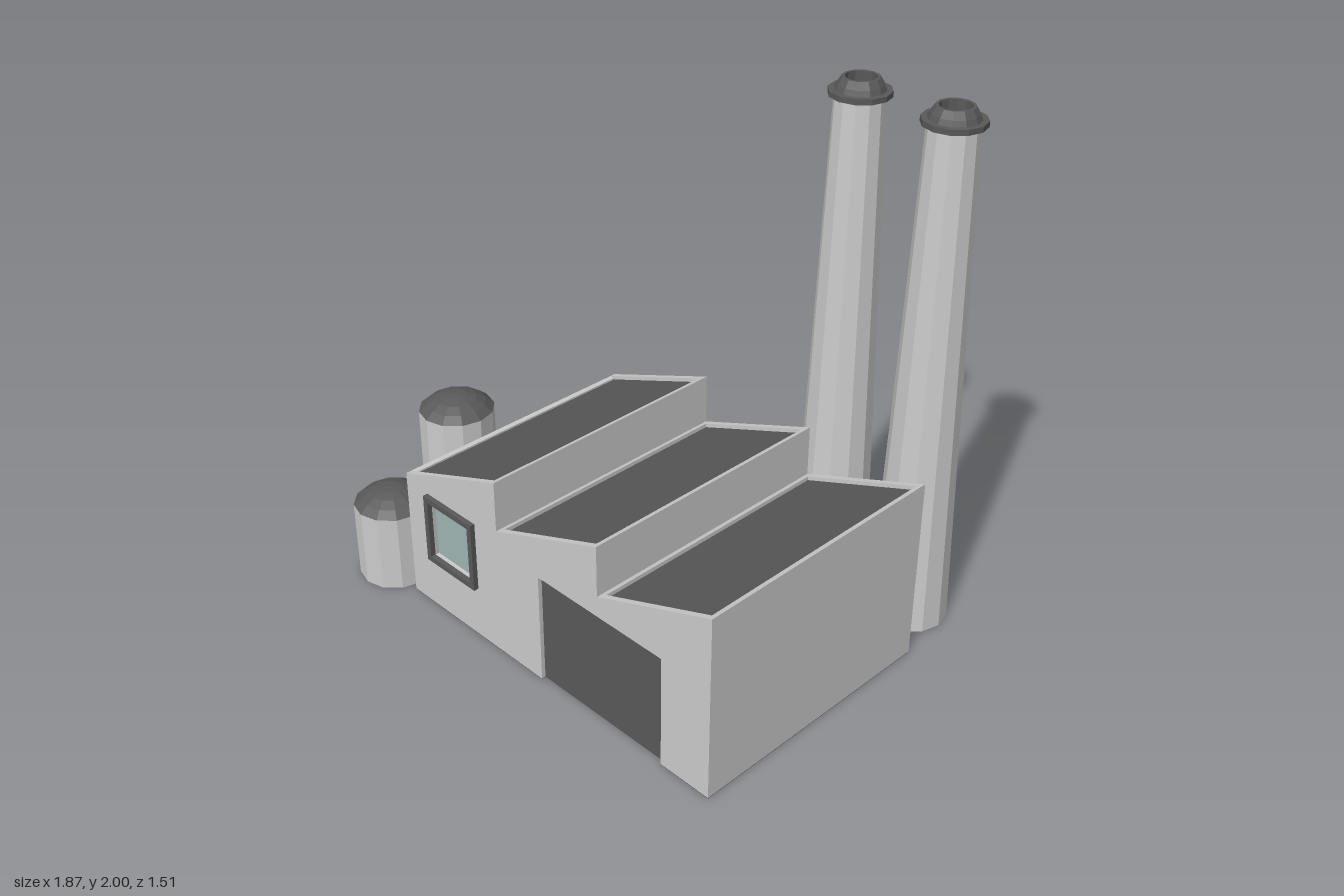
import * as THREE from 'three';

const wall = new THREE.MeshStandardMaterial({ name: 'paleConcrete', color: 0xcbcbcb });
const dark = new THREE.MeshStandardMaterial({ name: 'darkGrey', color: 0x595959 });
const glass = new THREE.MeshStandardMaterial({ name: 'paleGlass', color: 0x9fb6b3 });
wall.flatShading = dark.flatShading = true;

const X0 = -0.62, X1 = 0.934, ZB = -0.405, ZF = 0.648;
const LOW = 0.53, HIGH = 0.73, BASE = 0.002, T = 0.022;
const W = (X1 - X0) / 3, SLOPE = (HIGH - LOW) / W;
const DOOR = [0.116, 0.716, 0.448];
const WY0 = 0.215, WY1 = 0.498, FRAME = 0.022;

function mesh(name, geometry, material, x = 0, y = 0, z = 0) {
  const m = new THREE.Mesh(geometry, material);
  m.name = name;
  m.position.set(x, y, z);
  return m;
}

const poly = (pts) => new THREE.Shape(pts.map(([x, y]) => new THREE.Vector2(x, y)));

function rectHole(shape, x0, x1, y0, y1) {
  const p = poly([[x0, y0], [x0, y1], [x1, y1], [x1, y0]]);
  shape.holes.push(p);
  return shape;
}

const extrude = (shape, depth) =>
  new THREE.ExtrudeGeometry(shape, { depth, bevelEnabled: false });

// Full saw-tooth outline, running from the right ridge back to the left eave
function teeth() {
  const pts = [];
  for (let i = 2; i >= 0; i--) {
    pts.push([X0 + (i + 1) * W, HIGH], [X0 + i * W, LOW]);
  }
  return pts;
}

// Raised frame with recessed glass, facing +z, wall surface at z = 0
function makeWindow(name, width) {
  const g = new THREE.Group();
  g.name = name;
  const w = width / 2, h = (WY1 - WY0) / 2;
  const ring = rectHole(poly([[-w, -h], [w, -h], [w, h], [-w, h]]),
    -w + FRAME, w - FRAME, -h + FRAME, h - FRAME);
  g.add(mesh('windowFrame', extrude(ring, 0.02), dark));
  g.add(mesh('windowGlass', new THREE.BoxGeometry(width - 2 * FRAME, 2 * (h - FRAME), 0.006),
    glass, 0, 0, -T + 0.003));
  return g;
}

function hall() {
  const g = new THREE.Group();
  g.name = 'factoryHall';
  const [d0, d1, dh] = DOOR;
  const hy0 = WY0 + FRAME, hy1 = WY1 - FRAME;

  // Front wall with doorway and window opening
  const front = poly([[X0, BASE], [d0, BASE], [d0, dh], [d1, dh], [d1, BASE], [X1, BASE], ...teeth()]);
  rectHole(front, -0.497 + FRAME, -0.225 - FRAME, hy0, hy1);
  g.add(mesh('frontWall', extrude(front, T), wall, 0, 0, ZF - T));

  // Back wall with the long window opening
  const back = poly([[X0, BASE], [X1, BASE], ...teeth()]);
  rectHole(back, -0.497 + FRAME, 0.81 - FRAME, hy0, hy1);
  g.add(mesh('backWall', extrude(back, T), wall, 0, 0, ZB));

  // Side wall with a small window opening
  const side = poly([[ZB + T, BASE], [ZF - T, BASE], [ZF - T, LOW], [ZB + T, LOW]]);
  rectHole(side, -0.283 + FRAME, -FRAME, hy0, hy1);
  const sideWall = mesh('sideWall', extrude(side, T), wall, X0 + T, 0, 0);
  sideWall.rotation.y = -Math.PI / 2;
  g.add(sideWall);

  // Core with sunken roof slopes between the rims
  const DROP = 0.02, pts = [[X0 + T, BASE], [X1, BASE]];
  for (let i = 2; i >= 0; i--) {
    const a = X0 + i * W, b = a + W, ya = LOW + SLOPE * T, yb = HIGH - SLOPE * T;
    pts.push([b, HIGH], [b - T, yb], [b - T, yb - DROP], [a + T, ya - DROP]);
    if (i > 0) pts.push([a + T, ya], [a, LOW]);
  }
  const depth = ZF - ZB - 2 * T;
  g.add(mesh('hallCore', extrude(poly(pts), depth), wall, 0, 0, ZB + T));

  // Dark roof panels
  const angle = Math.atan(SLOPE);
  for (let i = 0; i < 3; i++) {
    const panel = mesh('roofPanel',
      new THREE.BoxGeometry((W - 2 * T) / Math.cos(angle), 0.008, depth), dark,
      X0 + (i + 0.5) * W, (LOW + HIGH) / 2 - DROP, (ZF + ZB) / 2);
    panel.rotation.z = angle;
    g.add(panel);
  }

  // Recessed door
  g.add(mesh('door', new THREE.BoxGeometry(d1 - d0, dh - BASE, 0.006), dark,
    (d0 + d1) / 2, (dh + BASE) / 2, ZF - T + 0.003));

  // Underside, notched at the doorway
  const floor = poly([[X0, -ZF], [d0, -ZF], [d0, T - ZF], [d1, T - ZF], [d1, -ZF],
    [X1, -ZF], [X1, -ZB], [X0, -ZB]]);
  g.add(mesh('underside', extrude(floor, BASE).rotateX(-Math.PI / 2), dark));

  // Windows
  const wy = (WY0 + WY1) / 2;
  const frontWindow = makeWindow('frontWindow', 0.272);
  frontWindow.position.set(-0.361, wy, ZF);
  const backWindow = makeWindow('backWindow', 1.307);
  backWindow.position.set(0.1565, wy, ZB);
  backWindow.rotation.y = Math.PI;
  const sideWindow = makeWindow('sideWindow', 0.283);
  sideWindow.position.set(X0, wy, -0.1415);
  sideWindow.rotation.y = -Math.PI / 2;
  g.add(frontWindow, backWindow, sideWindow);
  return g;
}

const lathe = (pts) =>
  new THREE.LatheGeometry(pts.map(([r, y]) => new THREE.Vector2(r, y)), 12);

// Dark disc closing the bottom of a round part
const disc = (r) => new THREE.CircleGeometry(r, 12).rotateX(Math.PI / 2);

function chimney(x) {
  const g = new THREE.Group();
  g.name = 'chimney';
  g.position.set(x, 0, -0.608);
  g.add(mesh('chimneyShaft', lathe([[0.147, 0], [0.09, 1.94]]), wall));
  g.add(mesh('chimneyCap', lathe([[0.088, 1.936], [0.111, 1.936], [0.111, 1.956], [0.09, 1.956],
    [0.082, 1.975], [0.066, 2], [0.056, 2], [0.056, 1.95], [0, 1.95]]), dark));
  g.add(mesh('chimneyBottom', disc(0.147), dark));
  return g;
}

function tank(z, height) {
  const g = new THREE.Group();
  g.name = 'storageTank';
  g.position.set(-0.788, 0, z);
  const r = 0.147, rise = 0.063;
  g.add(mesh('tankBody', lathe([[r, 0], [r, height]]), wall));
  const R = (r * r + rise * rise) / (2 * rise), a = Math.asin(r / R), pts = [];
  for (let i = 4; i >= 0; i--) {
    const t = (a * i) / 4;
    pts.push([R * Math.sin(t), height + rise - R * (1 - Math.cos(t))]);
  }
  g.add(mesh('tankDome', lathe(pts), dark));
  g.add(mesh('tankBottom', disc(r), dark));
  return g;
}

export function createModel() {
  const model = new THREE.Group();
  model.name = 'factory';
  model.add(hall());
  for (const x of [0.385, 0.77]) model.add(chimney(x));
  model.add(tank(0.275, 0.586), tank(0.608, 0.312));
  return model;
}
